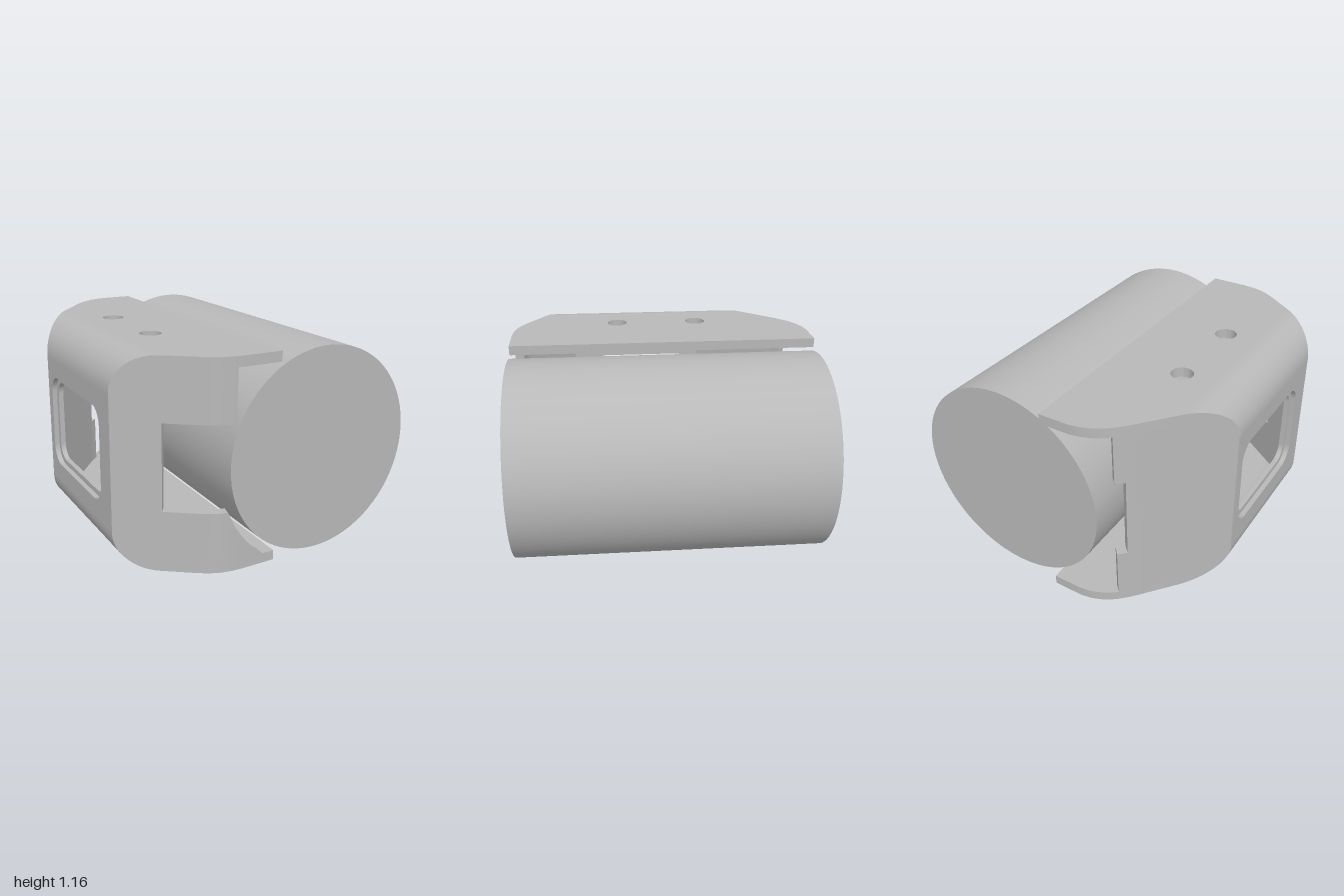
import * as THREE from 'three';
import { toCreasedNormals } from 'three/addons/utils/BufferGeometryUtils.js';

const HALF = 0.572, THICK = 0.055, RADIUS = 0.2, LEFT = -0.39, RIGHT = 0.39, BEND = -0.19;
const SLOT = 0.235;

// plan outline of the bracket (x, z) along its front and back ends
const FRONT = [[-0.39, 0.515], [-0.03, 0.775], [0.02, 0.806], [0.07, 0.828], [0.13, 0.841], [0.19, 0.846], [0.39, 0.847]];
const BACK = [[-0.39, -0.375], [-0.02, -0.823], [0.04, -0.882], [0.1, -0.922], [0.16, -0.946], [0.22, -0.957], [0.39, -0.96]];

function outlineZ(line, x) {
  let i = 0;
  while (i < line.length - 2 && x > line[i + 1][0]) i++;
  const [x0, z0] = line[i], [x1, z1] = line[i + 1];
  return z0 + (z1 - z0) * (x - x0) / (x1 - x0);
}

// closed solid through four-cornered rings
function loft(rings) {
  const tris = [];
  const quad = (a, b, c, d) => tris.push([a, b, c], [a, c, d]);
  for (let i = 0; i < rings.length - 1; i++) {
    for (let k = 0; k < 4; k++) {
      const n = (k + 1) % 4;
      quad(rings[i][k], rings[i][n], rings[i + 1][n], rings[i + 1][k]);
    }
  }
  const last = rings[rings.length - 1];
  quad(rings[0][3], rings[0][2], rings[0][1], rings[0][0]);
  quad(last[0], last[1], last[2], last[3]);
  // turn the faces outward
  const volume = tris.reduce((s, [a, b, c]) => s + a.dot(b.clone().cross(c)), 0);
  if (volume < 0) tris.forEach(t => t.reverse());
  const g = new THREE.BufferGeometry().setFromPoints(tris.flat());
  return toCreasedNormals(g, 0.5);
}

// outer height of the rounded bracket at x, kept just inside its skin
function topY(x) {
  if (x >= BEND) return HALF - 0.004;
  const r = RADIUS - 0.004;
  return HALF - RADIUS + Math.sqrt(Math.max(0, r * r - (x - BEND) ** 2));
}

// upright end wall following the plan outline between two x values
function endWall(line, x0, x1, low, high) {
  const side = Math.sign(line[0][1]), rings = [], n = 14;
  for (let i = 0; i <= n; i++) {
    const x = x0 + (x1 - x0) * i / n, z = outlineZ(line, x);
    const m = (outlineZ(line, x + 0.02) - outlineZ(line, x - 0.02)) / 0.04;
    const k = THICK / Math.hypot(1, m);
    const xi = x + side * m * k, zi = z - side * k;
    const lo = low(x), hi = Math.max(high(x), lo + 0.001);
    rings.push([
      new THREE.Vector3(x, lo, z), new THREE.Vector3(x, hi, z),
      new THREE.Vector3(xi, hi, zi), new THREE.Vector3(xi, lo, zi),
    ]);
  }
  return loft(rings);
}

// rounded rectangle path in (z, y)
function roundedRect(z0, z1, h, r) {
  const p = new THREE.Path();
  p.absarc(z1 - r, h - r, r, 0, Math.PI / 2);
  p.absarc(z0 + r, h - r, r, Math.PI / 2, Math.PI);
  p.absarc(z0 + r, -h + r, r, Math.PI, Math.PI * 1.5);
  p.absarc(z1 - r, -h + r, r, Math.PI * 1.5, Math.PI * 2);
  p.closePath();
  return p;
}

export function createModel() {
  const grey = new THREE.MeshStandardMaterial({ color: 0xb8b8b8 });
  grey.name = 'plain grey';
  const model = new THREE.Group();
  model.name = 'cylinderWithBracket';
  model.rotation.y = -0.2425;

  const add = (parent, name, geometry) => {
    const mesh = new THREE.Mesh(geometry, grey);
    mesh.name = name;
    parent.add(mesh);
    return mesh;
  };

  // main cylinder lying along z
  const drum = new THREE.CylinderGeometry(0.57, 0.57, 1.752, 96).rotateX(Math.PI / 2);
  add(model, 'cylinder', drum).position.set(0.206, 0.57, -0.041);

  // bracket, leaning very slightly
  const bracket = new THREE.Group();
  bracket.name = 'bracket';
  bracket.position.set(-0.48, 0.585, 0);
  bracket.rotation.z = -0.018;
  model.add(bracket);

  // top and bottom flanges with two holes each
  const edge = line => [[BEND, outlineZ(line, BEND)], ...line.filter(p => p[0] > BEND)];
  const plan = new THREE.Shape([...edge(FRONT), ...edge(BACK).reverse()].map(p => new THREE.Vector2(...p)));
  for (const z of [-0.291, 0.203]) {
    plan.holes.push(new THREE.Path().absarc(-0.008, z, 0.06, 0, Math.PI * 2));
  }
  const flange = () => toCreasedNormals(
    new THREE.ExtrudeGeometry(plan, { depth: THICK, bevelEnabled: false, curveSegments: 24 }).rotateX(Math.PI / 2), 0.5);
  add(bracket, 'topFlange', flange().translate(0, HALF, 0));
  add(bracket, 'bottomFlange', flange().translate(0, THICK - HALF, 0));

  // rounded bends between flanges and side wall
  for (const s of [1, -1]) {
    const rings = [];
    for (let i = 0; i <= 16; i++) {
      const a = i / 16 * Math.PI / 2;
      const at = (r, line) => {
        const x = BEND - r * Math.sin(a);
        return new THREE.Vector3(x, s * (HALF - RADIUS + r * Math.cos(a)), outlineZ(line, x));
      };
      const inner = RADIUS - THICK;
      rings.push([at(RADIUS, FRONT), at(RADIUS, BACK), at(inner, BACK), at(inner, FRONT)]);
    }
    add(bracket, s > 0 ? 'topBend' : 'bottomBend', loft(rings));
  }

  // side wall with a stepped window, in two layers
  const layer = (x, z0, z1, h, r) => {
    const y = HALF - RADIUS;
    const shape = new THREE.Shape([[-0.375, -y], [0.515, -y], [0.515, y], [-0.375, y]].map(p => new THREE.Vector2(...p)));
    shape.holes.push(roundedRect(z0, z1, h, r));
    const g = new THREE.ExtrudeGeometry(shape, { depth: THICK / 2, bevelEnabled: false, curveSegments: 10 });
    return toCreasedNormals(g.rotateY(-Math.PI / 2).translate(x, 0, 0), 0.5);
  };
  add(bracket, 'sideWallOuter', layer(LEFT + THICK / 2, -0.32, 0.385, 0.265, 0.1));
  add(bracket, 'sideWallInner', layer(LEFT + THICK, -0.29, 0.355, 0.235, 0.08));

  // front end wall, slotted, its lower part cut round the cylinder
  const bottomY = x => -topY(x);
  const clearance = x => Math.min(-SLOT, -0.015 - Math.sqrt(Math.max(0, 0.62 ** 2 - (x - 0.686) ** 2)));
  add(bracket, 'frontWall', endWall(FRONT, LEFT + 0.004, -0.18, bottomY, topY));
  add(bracket, 'frontWallLower', endWall(FRONT, -0.18, 0.32, bottomY, clearance));
  add(bracket, 'frontWallUpper', endWall(FRONT, -0.18, 0.14, () => SLOT, topY));

  // back end wall with a shallow notch in its free edge
  add(bracket, 'backWall', endWall(BACK, LEFT + 0.004, -0.01, bottomY, topY));
  add(bracket, 'backWallLower', endWall(BACK, -0.01, 0.03, bottomY, () => -SLOT));
  add(bracket, 'backWallUpper', endWall(BACK, -0.01, 0.03, () => SLOT, topY));

  const root = new THREE.Group();
  root.name = 'model';
  root.add(model);
  return root;
}
